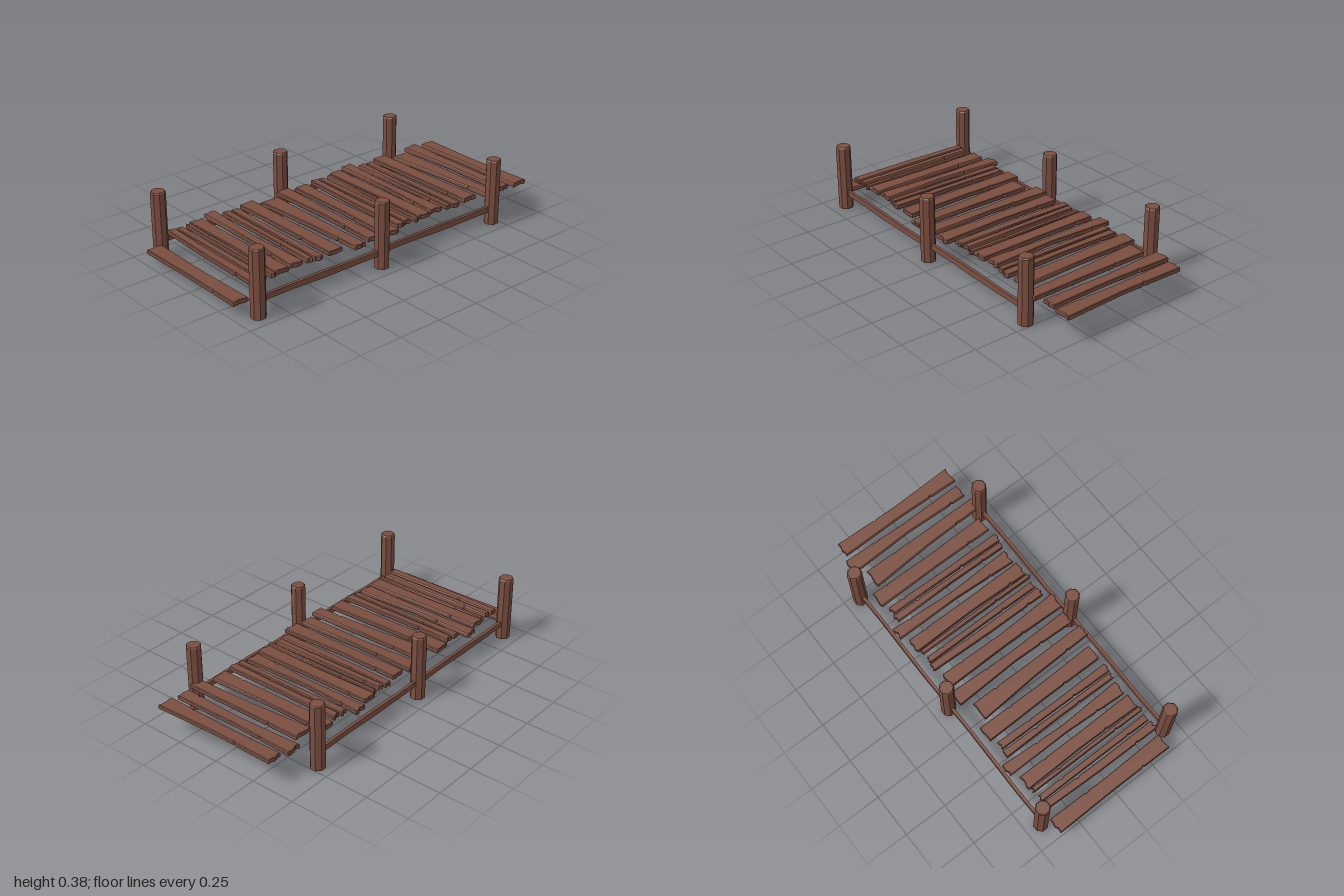
import * as THREE from 'three';

const wood = new THREE.MeshStandardMaterial({ color: 0x7a4e40, flatShading: true });

let seed = 7;
const rand = () => {
  seed = (seed * 16807) % 2147483647;
  return seed / 2147483647 - 0.5;
};

// Plank outlines: [left, right] at the back, middle and front, then the z of both ends
const PLANKS = [
  [[-0.87, -0.828], [-0.88, -0.835], [-0.882, -0.832], -0.377, 0.362],
  [[-0.822, -0.786], [-0.82, -0.786], [-0.822, -0.784], -0.366, 0.357],
  [[-0.758, -0.735], [-0.758, -0.735], [-0.76, -0.735], -0.372, 0.366],
  [[-0.73, -0.65], [-0.722, -0.652], [-0.73, -0.647], -0.383, 0.36],
  [[-0.615, -0.546], [-0.612, -0.568], [-0.631, -0.552], -0.415, 0.35],
  [[-0.529, -0.487], [-0.524, -0.493], [-0.529, -0.495], -0.366, 0.36],
  [[-0.478, -0.434], [-0.48, -0.442], [-0.487, -0.438], -0.36, 0.37],
  [[-0.404, -0.316], [-0.397, -0.32], [-0.398, -0.31], -0.382, 0.367],
  [[-0.295, -0.19], [-0.268, -0.192], [-0.257, -0.189], -0.33, 0.408],
  [[-0.155, -0.07], [-0.139, -0.083], [-0.15, -0.075], -0.383, 0.385],
  [[-0.044, 0.038], [-0.037, 0.03], [-0.046, 0.045], -0.358, 0.4],
];

// Rough board with splintered ends, small nicks and chamfered edges
function plank([back, mid, front, z0, z1], dx, y, name) {
  const pts = [];
  const end = (a, b, z, dir) => {
    for (let i = 0; i <= 4; i++) {
      const inset = i === 0 || i === 4 ? 0.008 : 0.008 + rand() * 0.016;
      pts.push(new THREE.Vector2(a + (b - a) * i / 4, -(z + dir * inset)));
    }
  };
  const zm = (z0 + z1) / 2;
  const side = (p, q, r, za, zb, inward) => {
    const nick = 0.5 + rand() * 0.5;
    const lerp = (a, b, t) => a + (b - a) * t;
    pts.push(new THREE.Vector2(q, -zm));
    for (const [t, d] of [[nick - 0.03, 0], [nick, 0.006], [nick + 0.03, 0]]) {
      pts.push(new THREE.Vector2(lerp(q, r, t) + inward * d, -lerp(zm, zb, t)));
    }
  };
  end(front[0], front[1], z1, -1);
  side(front[1], mid[1], back[1], z1, z0, -1);
  end(back[1], back[0], z0, 1);
  side(back[0], mid[0], front[0], z0, z1, 1);

  const geo = new THREE.ExtrudeGeometry(new THREE.Shape(pts), {
    depth: 0.018, bevelEnabled: true, bevelSize: 0.003, bevelOffset: -0.003,
    bevelThickness: 0.004, bevelSegments: 1,
  });
  geo.rotateX(-Math.PI / 2);
  const mesh = new THREE.Mesh(geo, wood);
  mesh.position.set(dx, y + 0.004, 0);
  mesh.name = name;
  return mesh;
}

// Eight-sided post with a slightly chamfered top
function post(x, z) {
  const profile = [[0, 0], [0.041, 0], [0.041, 0.368], [0.036, 0.375], [0, 0.375]]
    .map(([r, y]) => new THREE.Vector2(r, y));
  const geo = new THREE.LatheGeometry(profile, 8);
  geo.rotateY(Math.PI / 8);
  const mesh = new THREE.Mesh(geo, wood);
  mesh.position.set(x, 0, z);
  mesh.name = 'post';
  return mesh;
}

// Thin hewn rail between two posts, a little uneven along its length
function rail(x0, x1, z) {
  const geo = new THREE.BoxGeometry(x1 - x0, 0.032, 0.017, 4, 1, 1);
  const p = geo.attributes.position;
  for (let i = 0; i < p.count; i++) {
    const t = p.getX(i) / (x1 - x0);
    p.setY(i, p.getY(i) * (1 + 0.12 * Math.cos(t * 9)) - 0.008 * t);
    p.setZ(i, p.getZ(i) + 0.003 * Math.sin(t * 6));
  }
  geo.computeVertexNormals();
  const mesh = new THREE.Mesh(geo, wood);
  mesh.position.set((x0 + x1) / 2, 0.091, z);
  mesh.name = 'sideRail';
  return mesh;
}

export function createModel() {
  const group = new THREE.Group();
  group.name = 'woodenDock';

  // Posts and side rails
  const postX = [-0.885, -0.092, 0.712];
  for (const z of [-0.415, 0.413]) {
    postX.forEach((x) => group.add(post(x, z)));
    for (let i = 0; i < 2; i++) group.add(rail(postX[i], postX[i + 1], z));
  }

  // Deck: the same run of boards laid twice
  const deck = new THREE.Group();
  deck.name = 'deck';
  for (const dx of [0, 0.952]) {
    PLANKS.forEach((p) => deck.add(plank(p, dx, 0.138, 'deckPlank')));
  }
  group.add(deck);

  // Lower step board at one end
  group.add(plank(PLANKS[7], -0.593, 0.065, 'stepPlank'));
  return group;
}
